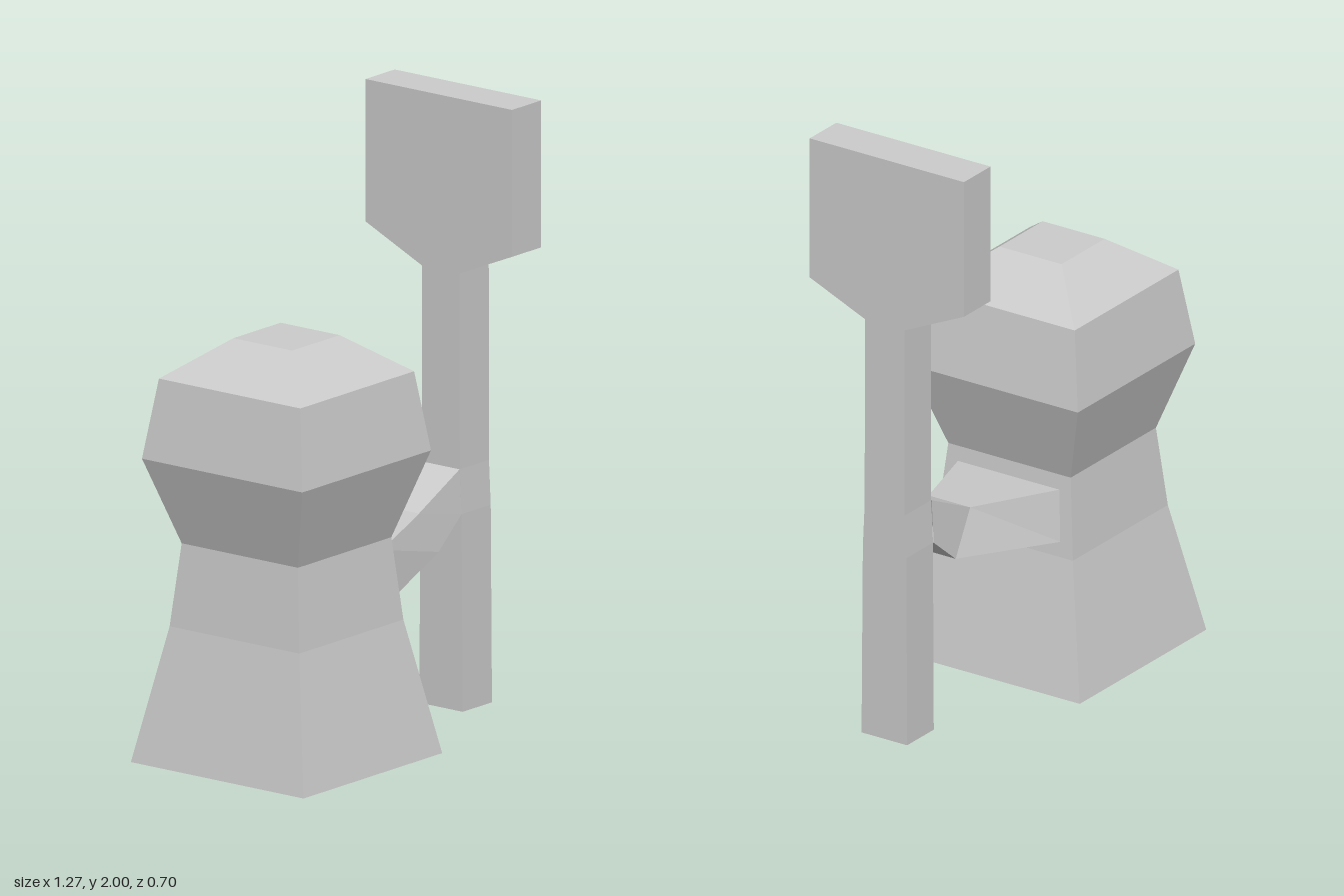
import * as THREE from 'three';

const material = new THREE.MeshStandardMaterial({
  color: 0xcccccc, flatShading: true, side: THREE.DoubleSide,
});

// Skins a list of four-cornered rings; each ring runs counter-clockwise seen from the far end.
function loft(name, rings, capEnd) {
  const positions = [];
  const quad = (a, b, c, d) => [a, b, c, a, c, d].forEach((p) => positions.push(...p));
  for (let r = 0; r < rings.length - 1; r++) {
    const lo = rings[r], hi = rings[r + 1];
    for (let i = 0; i < 4; i++) {
      const j = (i + 1) % 4;
      quad(lo[i], lo[j], hi[j], hi[i]);
    }
  }
  if (capEnd) quad(...rings[rings.length - 1]);
  const geometry = new THREE.BufferGeometry();
  geometry.setAttribute('position', new THREE.Float32BufferAttribute(positions, 3));
  geometry.computeVertexNormals();
  const mesh = new THREE.Mesh(geometry, material);
  mesh.name = name;
  return mesh;
}

// Horizontal rectangle; the front and back edges may sit at different heights.
const level = (x0, x1, zBack, zFront, yBack, yFront = yBack) => [
  [x1, yFront, zFront], [x1, yBack, zBack], [x0, yBack, zBack], [x0, yFront, zFront],
];

// Upright arm section given by its top and bottom edges.
const armSection = (xTop, yTop, zTop, xBottom, yBottom, zBottom) => [
  [xTop, yTop, -zTop], [xTop, yTop, zTop], [xBottom, yBottom, zBottom], [xBottom, yBottom, -zBottom],
];

export function createModel() {
  const group = new THREE.Group();

  // Square body with waist and head, open underneath: [height, half width]
  const cx = -0.287;
  const profile = [[0, 0.349], [0.44, 0.262], [0.71, 0.235], [0.99, 0.324], [1.25, 0.286], [1.375, 0.119]];
  group.add(loft('body', profile.map(([y, h]) => level(cx - h, cx + h, -h, h, y)), true));

  // Bent, tapering arm reaching to the paddle
  group.add(loft('arm', [
    armSection(-0.048, 0.66, 0.195, -0.03, 0.49, 0.21),
    armSection(0.28, 0.69, 0.08, 0.37, 0.547, 0.087),
    armSection(0.488, 0.79, 0.077, 0.488, 0.645, 0.085),
  ], false));

  // Paddle: shaft flaring into a flat blade, open underneath: [zBack, zFront, yBack, yFront]
  const paddle = [
    [-0.085, 0.09, 0, 0], [-0.082, 0.085, 0.645, 0.645], [-0.075, 0.078, 0.79, 0.79],
    [-0.075, 0.077, 1.43, 1.43], [-0.303, 0.289, 1.535, 1.52], [-0.303, 0.289, 2, 2],
  ];
  group.add(loft('paddle', paddle.map((p) => level(0.488, 0.635, ...p)), true));

  return group;
}
